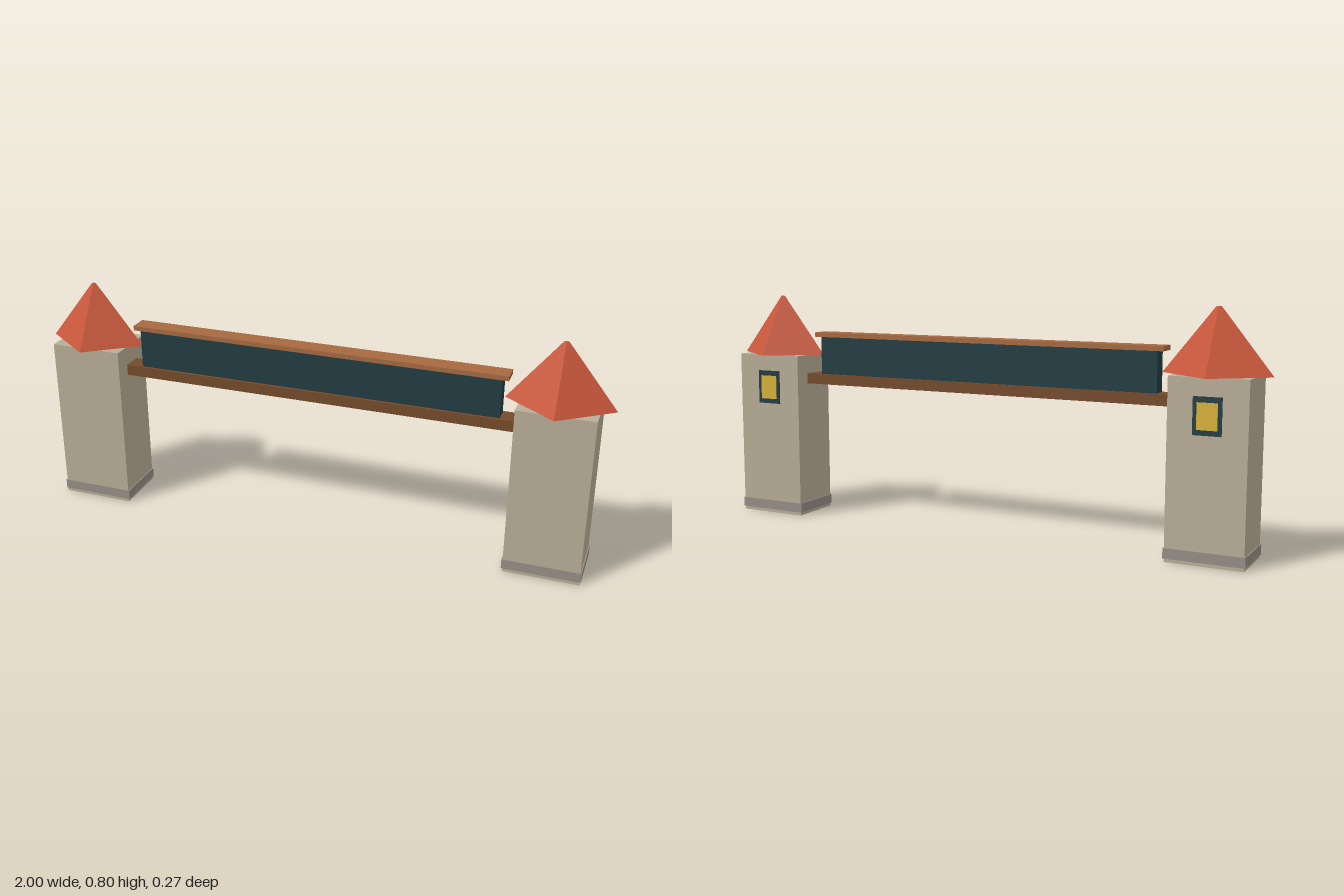
import * as THREE from 'three';

const mat = (name, color) => {
  const m = new THREE.MeshStandardMaterial({ color });
  m.name = name;
  return m;
};

export function createModel() {
  const stone = mat('stone', 0xb7ac96);
  const plinthGrey = mat('plinthGrey', 0x968d86);
  const roofRed = mat('roofRed', 0xca583c);
  const darkWood = mat('darkWood', 0x744a2a);
  const lightWood = mat('lightWood', 0xa5693f);
  const teal = mat('teal', 0x213c42);
  const yellow = mat('yellow', 0xd7b038);

  const model = new THREE.Group();
  model.name = 'gateway';

  // Box given by its size, bottom height and centre
  const box = (parent, name, material, w, h, d, x, bottom, z = 0) => {
    const mesh = new THREE.Mesh(new THREE.BoxGeometry(w, h, d), material);
    mesh.name = name;
    mesh.position.set(x, bottom + h / 2, z);
    parent.add(mesh);
  };

  // Two square towers with pointed roofs
  for (const [side, name] of [[1, 'leftTower'], [-1, 'rightTower']]) {
    const tower = new THREE.Group();
    tower.name = name;
    tower.position.x = side * 0.823;
    model.add(tower);

    box(tower, 'shaft', stone, 0.255, 0.588, 0.19, 0, 0);
    box(tower, 'plinthBand', plinthGrey, 0.263, 0.034, 0.193, 0, 0.011);

    // Four-sided roof with its corners over the middles of the walls
    const roofGeo = new THREE.CylinderGeometry(0.006, 0.133, 0.212, 4).toNonIndexed();
    roofGeo.scale(0.177 / 0.133, 1, 1);
    roofGeo.computeVertexNormals();
    const roof = new THREE.Mesh(roofGeo, roofRed);
    roof.name = 'roof';
    roof.position.y = 0.694;
    tower.add(roof);

    // Back window
    box(tower, 'windowFrame', teal, 0.092, 0.12, 0.006, 0, 0.41, -0.095);
    box(tower, 'windowPane', yellow, 0.066, 0.085, 0.009, 0, 0.427, -0.096);
  }

  // Beam, panel and top rail between the towers
  box(model, 'beam', darkWood, 1.42, 0.037, 0.07, 0, 0.484);
  box(model, 'panel', teal, 1.276, 0.135, 0.05, 0, 0.521);
  box(model, 'topRail', lightWood, 1.32, 0.016, 0.065, 0, 0.656);

  return model;
}
